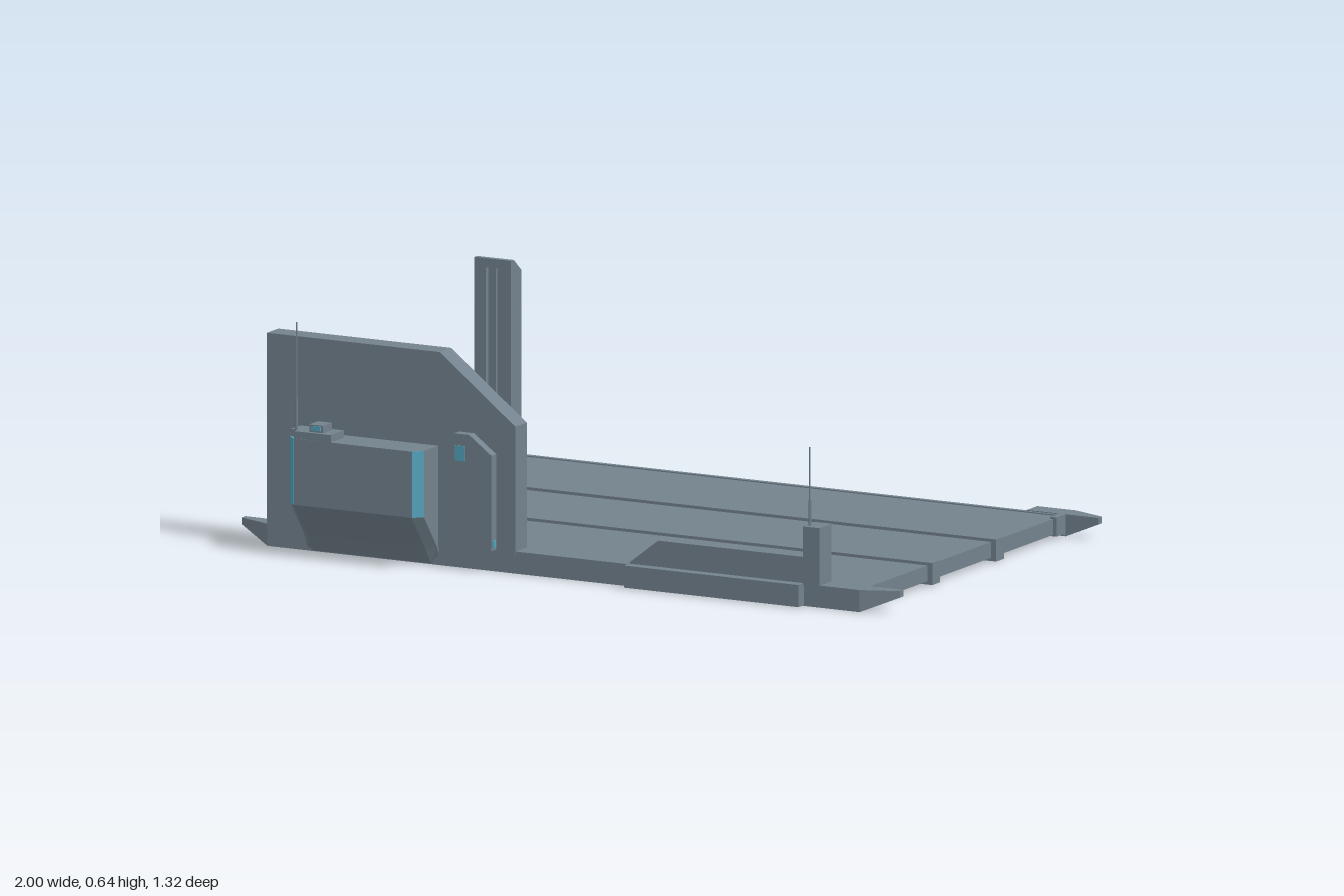
import * as THREE from 'three';

export function createModel() {
  const root = new THREE.Group();
  root.name = 'platform';
  const hull = new THREE.MeshStandardMaterial({ color: 0x73828d });
  hull.name = 'slate hull';
  const glass = new THREE.MeshStandardMaterial({ color: 0x53a3bd });
  glass.name = 'blue glass';

  const add = (name, geo, mat = hull, parent = root) => {
    const m = new THREE.Mesh(geo, mat);
    m.name = name;
    parent.add(m);
    return m;
  };
  // Box given by its limits on each axis
  const box = (name, x0, x1, y0, y1, z0, z1, mat = hull) => {
    const m = add(name, new THREE.BoxGeometry(x1 - x0, y1 - y0, z1 - z0), mat);
    m.position.set((x0 + x1) / 2, (y0 + y1) / 2, (z0 + z1) / 2);
    return m;
  };
  const rod = (name, x, y0, y1, z, r) =>
    add(name, new THREE.CylinderGeometry(r, r, y1 - y0, 6)).position.set(x, (y0 + y1) / 2, z);
  // Front-view outline extruded from z0 to z1, with an optional slot [x0, x1, y0, y1]
  const plate = (name, pts, z0, z1, slot) => {
    const s = new THREE.Shape(pts.map(p => new THREE.Vector2(...p)));
    if (slot) {
      const [a, b, c, d] = slot;
      s.holes.push(new THREE.Path([[a, c], [a, d], [b, d], [b, c]].map(p => new THREE.Vector2(...p))));
    }
    const geo = new THREE.ExtrudeGeometry(s, { depth: z1 - z0, bevelEnabled: false });
    add(name, geo.translate(0, 0, z0));
  };
  // Flat-faced solid through convex cross-sections with equal point counts
  const loft = (name, rings, flip = false) => {
    const out = [];
    const tri = (a, b, c) => out.push(...a, ...(flip ? c : b), ...(flip ? b : c));
    const n = rings[0].length;
    for (let k = 0; k + 1 < rings.length; k++) {
      const a = rings[k], b = rings[k + 1];
      for (let i = 0; i < n; i++) {
        const j = (i + 1) % n;
        tri(a[i], a[j], b[j]);
        tri(a[i], b[j], b[i]);
      }
    }
    const first = rings[0], last = rings[rings.length - 1];
    for (let i = 1; i + 1 < n; i++) {
      tri(first[0], first[i + 1], first[i]);
      tri(last[0], last[i], last[i + 1]);
    }
    const g = new THREE.BufferGeometry();
    g.setAttribute('position', new THREE.Float32BufferAttribute(out, 3));
    g.computeVertexNormals();
    return add(name, g);
  };

  // Deck, cross ribs and edge beams
  box('deck', -0.89, 0.89, 0.012, 0.055, -0.58, 0.5);
  for (const z of [-0.215, 0.137]) box('deckRib', -0.905, 0.905, 0.003, 0.063, z - 0.022, z + 0.022);
  box('frontBeam', -0.9, 0.9, 0, 0.06, 0.49, 0.55);
  box('rearEdge', -0.9, 0.9, 0.004, 0.058, -0.59, -0.575);

  // Tapered bumper tips and corner blocks
  for (const sx of [-1, 1]) {
    for (const [sz, zi, zo, zt] of [[1, 0.49, 0.55, 0.51], [-1, 0.585, 0.643, 0.605]]) {
      const ring = (x, y, z) => [[x, y, sz * z], [x, y, sz * zi], [x, 0.06, sz * zi], [x, 0.06, sz * z]];
      loft('bumperTip', [ring(sx * 0.9, 0, zo), ring(sx, 0.042, zt)], sx * sz < 0);
      const xs = [sx * 0.88, sx * 0.9].sort((a, b) => a - b);
      const zs = [sz * (zi - 0.05), sz * zi].sort((a, b) => a - b);
      box('cornerBlock', xs[0], xs[1], 0.008, 0.06, zs[0], zs[1]);
    }
    const xr = [sx * 0.782, sx * 0.9].sort((a, b) => a - b);
    box('rearBumper', xr[0], xr[1], 0, 0.06, -0.643, -0.585);
  }

  // Tall side wall with a recessed slot on the inner face
  const wall = [[-0.9, 0.05], [-0.145, 0.05], [-0.145, 0.4], [-0.375, 0.58], [-0.9, 0.58]];
  plate('wallOuter', wall, 0.51, 0.553);
  plate('wallInner', wall, 0.49, 0.51, [-0.855, -0.815, 0.09, 0.55]);
  box('wallSlotRail', -0.842, -0.828, 0.09, 0.55, 0.5, 0.511);

  // Three round connectors on the inner face of the wall
  for (const y of [0.19, 0.343, 0.485]) {
    const hub = new THREE.Group();
    hub.name = 'connector';
    hub.position.set(-0.465, y, 0.49);
    hub.rotation.x = -Math.PI / 2;
    root.add(hub);
    const profile = [[0, 0], [0.053, 0], [0.053, 0.012], [0.036, 0.014], [0.036, 0.024], [0.024, 0.026], [0.02, 0.032], [0, 0.032]];
    const geo = new THREE.LatheGeometry(profile.map(p => new THREE.Vector2(...p)), 16).toNonIndexed();
    geo.computeVertexNormals();
    add('connectorDisc', geo, hull, hub);
    for (let i = 0; i < 4; i++) {
      const a = i * Math.PI / 2;
      add('connectorPin', new THREE.CylinderGeometry(0.003, 0.003, 0.02, 6), hull, hub)
        .position.set(Math.cos(a) * 0.014, 0.037, Math.sin(a) * 0.014);
    }
  }

  // Control cabin with an undercut belly and chamfered front corners
  const x0 = -0.785, x1 = -0.38, c = 0.024;
  const section = (y, zf) => {
    const zc = Math.max(zf - 0.024, 0.54);
    return [[x0, y, 0.535], [x0, y, zc], [x0 + c, y, zf], [x1 - c, y, zf], [x1, y, zc], [x1, y, 0.535]];
  };
  loft('cabin', [section(0.002, 0.55), section(0.05, 0.583), section(0.145, 0.656), section(0.325, 0.656)]);
  box('cabinRoof', x0 + 0.002, -0.65, 0.325, 0.345, 0.582, 0.632);
  box('cabinRoofFront', x0 + c, -0.65, 0.325, 0.345, 0.632, 0.655);
  box('roofHatch', -0.722, -0.68, 0.345, 0.365, 0.595, 0.643);
  box('roofHatchWindow', -0.715, -0.687, 0.35, 0.362, 0.642, 0.646, glass);

  // Corner windows on the cabin chamfers
  for (const s of [-1, 1]) {
    const w = add('cornerWindow', new THREE.BoxGeometry(0.033, 0.18, 0.004), glass);
    w.position.set(s < 0 ? x0 + c / 2 : x1 - c / 2, 0.235, 0.644);
    w.rotation.y = s * Math.PI / 4;
  }
  rod('cabinAntennaBase', -0.765, 0.32, 0.43, 0.635, 0.004);
  rod('cabinAntenna', -0.765, 0.43, 0.637, 0.635, 0.002);

  // Door panel with its small windows
  plate('doorPanel', [[-0.317, 0.06], [-0.203, 0.06], [-0.203, 0.32], [-0.27, 0.37], [-0.317, 0.37]], 0.55, 0.58);
  box('doorWindow', -0.313, -0.285, 0.297, 0.338, 0.579, 0.583, glass);
  box('doorLamp', -0.204, -0.2, 0.068, 0.088, 0.56, 0.575, glass);

  // Low barrier, side step and antenna post
  plate('barrier', [[0.2, 0.058], [0.73, 0.058], [0.73, 0.133], [0.287, 0.133], [0.2, 0.065]], 0.49, 0.55);
  box('sideStep', 0.2, 0.73, 0.002, 0.062, 0.545, 0.58);
  box('antennaPost', 0.73, 0.78, 0.058, 0.217, 0.487, 0.555);
  box('postLatch', 0.742, 0.768, 0.12, 0.18, 0.477, 0.489);
  rod('postAntennaBase', 0.74, 0.215, 0.285, 0.535, 0.004);
  rod('postAntenna', 0.74, 0.285, 0.43, 0.535, 0.002);

  // Rear tower with a slot facing inwards and a sloped top
  const tower = [[-0.896, 0.05], [-0.785, 0.05], [-0.785, 0.58], [-0.896, 0.58]];
  plate('towerFace', tower, -0.6, -0.585, [-0.862, -0.82, 0.08, 0.555]);
  const towerRing = x => [[x, 0.05, -0.6], [x, 0.05, -0.642], [x, 0.545, -0.642], [x, 0.58, -0.6]];
  loft('towerBody', [towerRing(-0.896), towerRing(-0.785)]);
  box('towerSlotRail', -0.847, -0.835, 0.08, 0.555, -0.601, -0.591);
  box('towerBox', -0.882, -0.857, 0.14, 0.225, -0.66, -0.64);

  return root;
}
